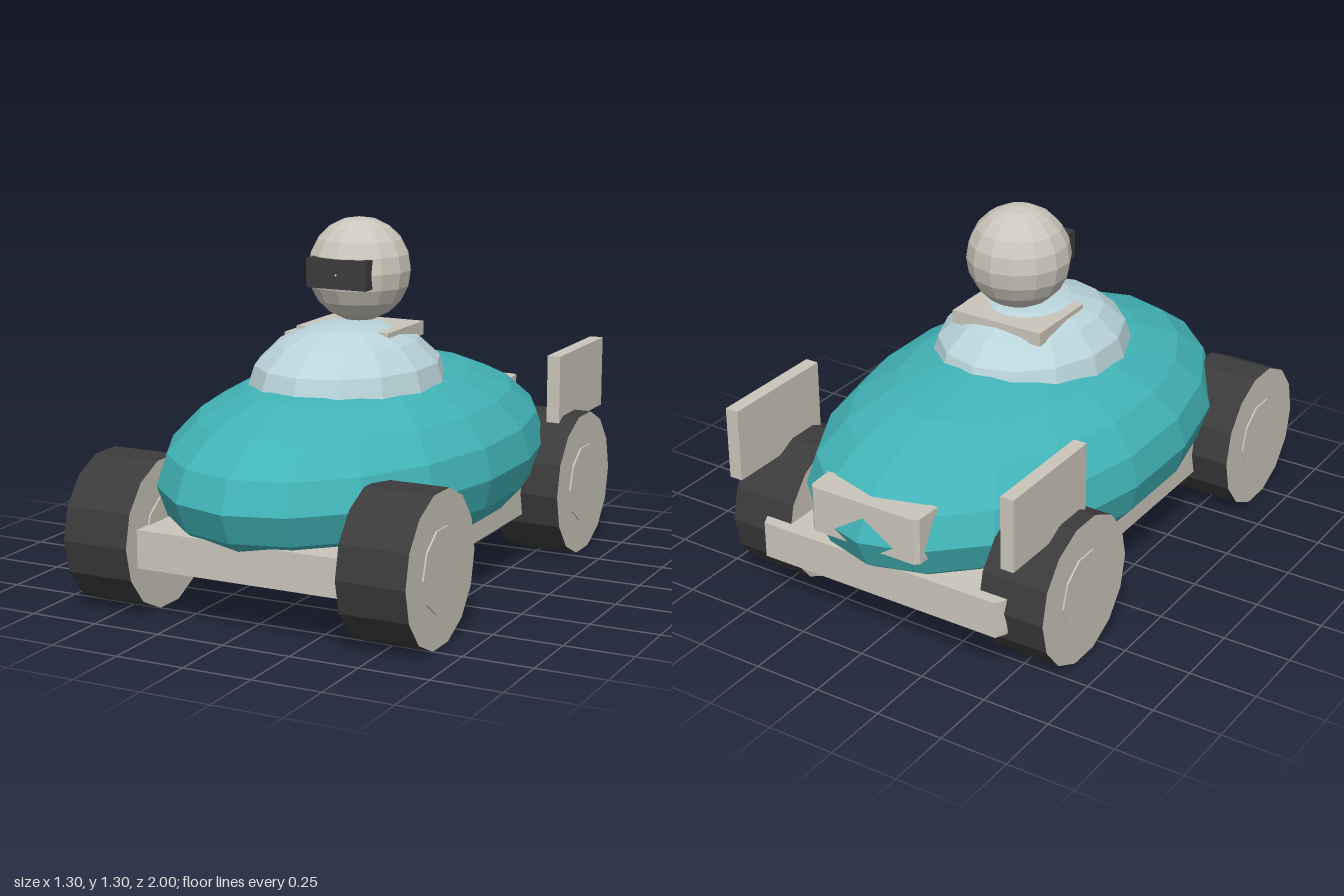
import * as THREE from 'three';

const mat = (name, color) => {
  const m = new THREE.MeshStandardMaterial({ color, flatShading: true });
  m.name = name;
  return m;
};

export function createModel() {
  const teal = mat('teal', 0x41b3b7);
  const beige = mat('beige', 0xcbc6bb);
  const paleBlue = mat('pale blue', 0xb9d4da);
  const charcoal = mat('charcoal', 0x3b3b3b);

  const car = new THREE.Group();
  car.name = 'kart';

  const add = (name, geometry, material, x, y, z) => {
    const mesh = new THREE.Mesh(geometry, material);
    mesh.name = name;
    mesh.position.set(x, y, z);
    car.add(mesh);
    return mesh;
  };
  const box = (name, material, x0, x1, y0, y1, z0, z1) =>
    add(name, new THREE.BoxGeometry(x1 - x0, y1 - y0, z1 - z0), material,
      (x0 + x1) / 2, (y0 + y1) / 2, (z0 + z1) / 2);
  // Faceted ellipsoid with a corner pointing straight ahead
  const ellipsoid = (rx, ry, rz, around, rows, theta = Math.PI) =>
    new THREE.SphereGeometry(1, around, rows, Math.PI / 2, Math.PI * 2, 0, theta).scale(rx, ry, rz);
  // Slab with a plan outline given as [x, z] points
  const slab = (name, outline, y0, y1) => {
    const shape = new THREE.Shape(outline.map(([x, z]) => new THREE.Vector2(x, -z)));
    const geometry = new THREE.ExtrudeGeometry(shape, { depth: y1 - y0, bevelEnabled: false });
    return add(name, geometry.rotateX(-Math.PI / 2), beige, 0, y0, 0);
  };

  // Hull and canopy
  add('body', ellipsoid(0.608, 0.35, 1, 18, 10), teal, 0, 0.44, 0);
  add('canopy', ellipsoid(0.345, 0.23, 0.42, 14, 4, Math.PI / 2), paleBlue, 0, 0.71, 0.09);

  // Driver
  add('head', ellipsoid(0.188, 0.188, 0.188, 14, 10), beige, 0, 1.115, 0);
  box('visor', charcoal, -0.117, 0.117, 1.065, 1.17, 0.11, 0.187);
  box('collar', beige, -0.183, 0.183, 0.865, 0.915, -0.153, 0.14);

  // Chassis plate with clipped corners
  slab('chassis', [
    [-0.48, 0.89], [0.48, 0.89], [0.5, 0.85], [0.5, -0.86],
    [0.48, -0.9], [-0.48, -0.9], [-0.5, -0.86], [-0.5, 0.85],
  ], 0.18, 0.315);

  // Rear bumper, with the tail showing through it
  slab('rearBumper', [
    [-0.225, -0.85], [0.225, -0.85], [0.22, -0.95],
    [0.205, -0.965], [-0.205, -0.965], [-0.22, -0.95],
  ], 0.405, 0.575);

  // Wheels and rear side fins
  const tyre = new THREE.CylinderGeometry(0.269, 0.269, 0.25, 14).rotateZ(Math.PI / 2);
  const hub = new THREE.CylinderGeometry(0.147, 0.147, 0.262, 10).rotateZ(Math.PI / 2);
  for (const side of [-1, 1]) {
    for (const [end, z] of [['front', 0.69], ['rear', -0.6]]) {
      const label = end + (side > 0 ? 'Left' : 'Right');
      add(label + 'Wheel', tyre, [charcoal, beige, beige], side * 0.52, 0.2625, z);
      add(label + 'Hub', hub, beige, side * 0.52, 0.2625, z);
    }
    const fin = box(side > 0 ? 'leftFin' : 'rightFin', beige, 0.532, 0.582, 0.49, 0.757, -0.945, -0.497);
    fin.position.x *= side;
  }
  return car;
}
